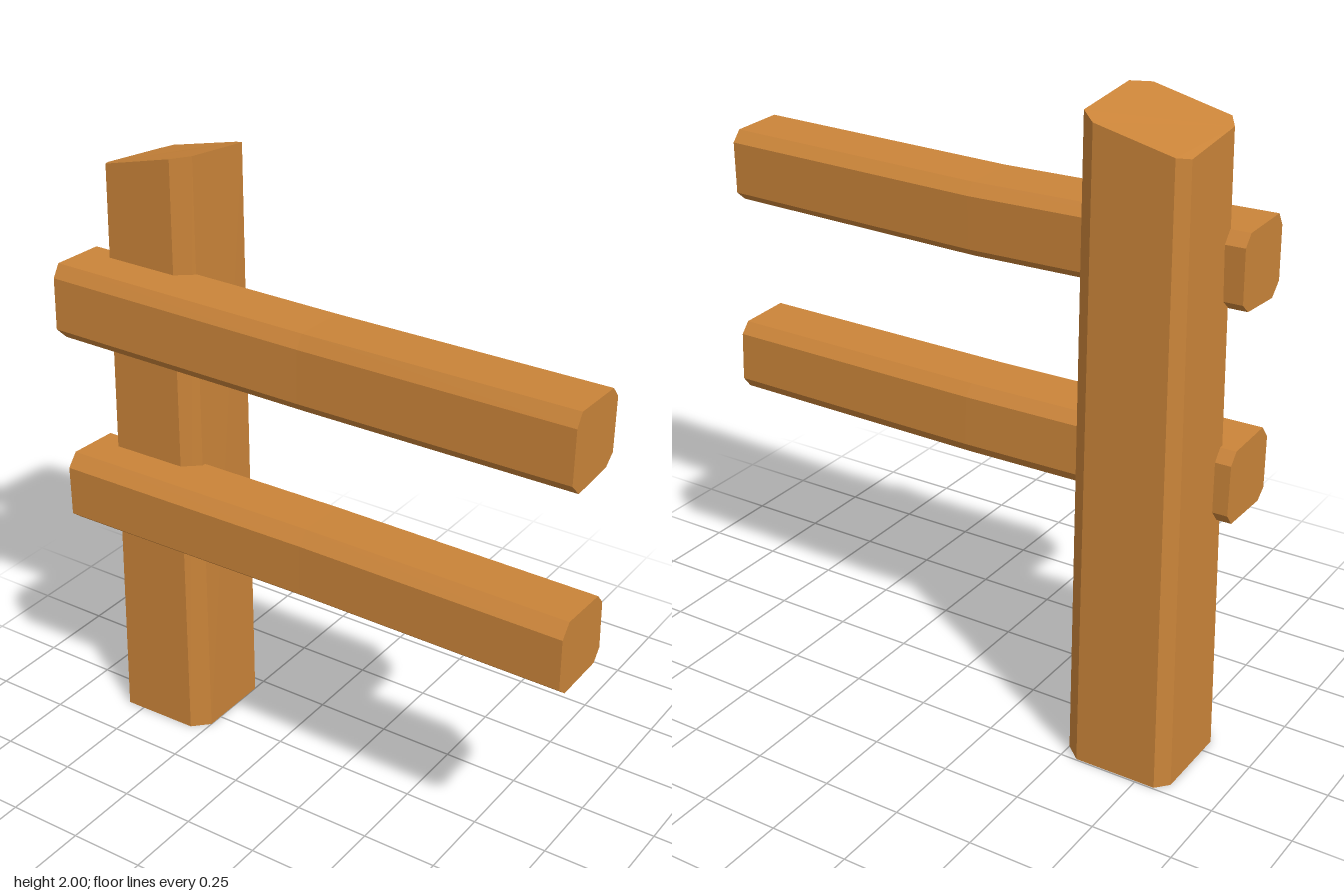
import * as THREE from 'three';

// Skin a list of matching loops; loops run counter-clockwise seen from the last one's end.
function loft(loops) {
  const pos = [];
  const tri = (a, b, c) => pos.push(...a, ...b, ...c);
  const n = loops[0].length;
  for (let s = 0; s < loops.length - 1; s++) {
    const lo = loops[s], hi = loops[s + 1];
    for (let i = 0; i < n; i++) {
      const j = (i + 1) % n;
      tri(lo[i], lo[j], hi[j]);
      tri(lo[i], hi[j], hi[i]);
    }
  }
  const first = loops[0], last = loops[loops.length - 1];
  for (let i = 1; i < n - 1; i++) {
    tri(first[0], first[i + 1], first[i]);
    tri(last[0], last[i], last[i + 1]);
  }
  const g = new THREE.BufferGeometry();
  g.setAttribute('position', new THREE.Float32BufferAttribute(pos, 3));
  g.computeVertexNormals();
  return g;
}

export function createModel() {
  const model = new THREE.Group();
  model.name = 'fenceEnd';
  const wood = new THREE.MeshStandardMaterial({ color: 0xca8439 });
  wood.name = 'wood';
  wood.flatShading = true;

  const add = (name, loops) => {
    const mesh = new THREE.Mesh(loft(loops), wood);
    mesh.name = name;
    model.add(mesh);
  };

  // Chamfered post, tapering to a slanted top
  const postBottom = [
    [-0.845, 0, 0.055], [-0.81, 0, 0.105], [-0.55, 0, 0.1], [-0.5, 0, 0.05],
    [-0.5, 0, -0.2], [-0.55, 0, -0.245], [-0.81, 0, -0.245], [-0.845, 0, -0.205],
  ];
  const postTop = [
    [-0.81, 1.922, 0.04], [-0.78, 1.936, 0.085], [-0.545, 1.994, 0.08], [-0.495, 2, 0.035],
    [-0.492, 1.975, -0.2], [-0.54, 1.957, -0.237], [-0.78, 1.902, -0.235], [-0.81, 1.895, -0.2],
  ];
  add('post', [postBottom, postTop]);

  // Chamfered rails with a slight bend in the middle; sections are [z, y]
  const rail = (name, section, dy, dz) => add(name, [-0.877, 0, 0.877].map((x) =>
    section.map(([z, y]) => (x === 0 ? [x, y + dy, z + dz] : [x, y, z]))));

  rail('upperRail', [
    [0.24, 1.605], [0.245, 1.44], [0.205, 1.4], [0.05, 1.41],
    [0.015, 1.44], [0.01, 1.605], [0.04, 1.64], [0.215, 1.645],
  ], -0.011, -0.011);
  rail('lowerRail', [
    [0.24, 0.96], [0.24, 0.795], [0.205, 0.766], [0.03, 0.768],
    [0, 0.805], [0.005, 0.96], [0.035, 0.995], [0.205, 1.002],
  ], -0.002, -0.011);

  return model;
}
